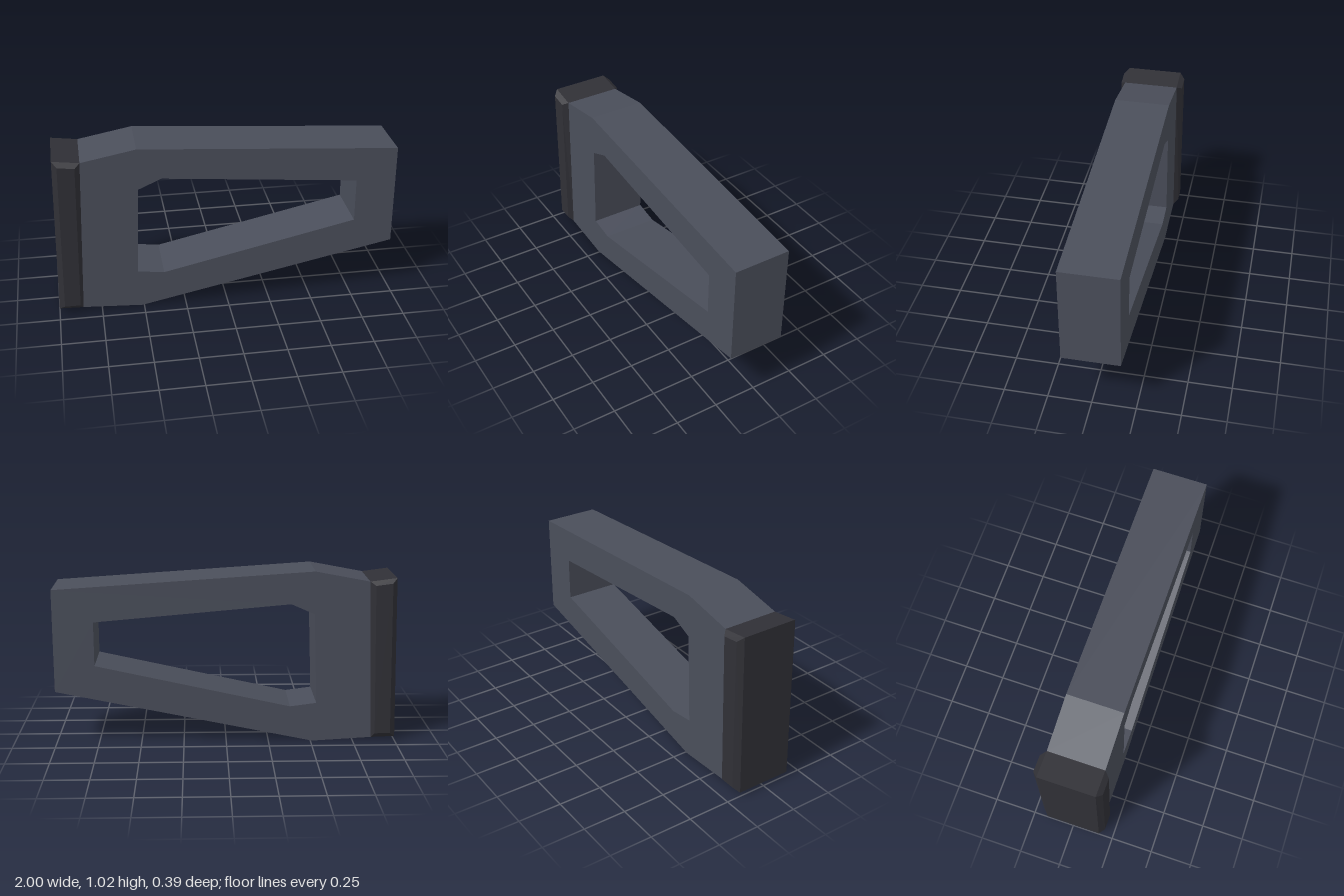
import * as THREE from 'three';

const toPoints = (list) => list.map(([x, y]) => new THREE.Vector2(x, y));

// Flat-shaded solid from counter-clockwise four-corner loops stacked along +z
function loft(loops) {
  const positions = [];
  const quad = (a, b, c, d) => positions.push(...a, ...b, ...c, ...a, ...c, ...d);
  const rings = loops.map(({ z, corners }) => corners.map(([x, y]) => [x, y, z]));
  for (let i = 0; i < rings.length - 1; i++) {
    const near = rings[i], far = rings[i + 1];
    for (let j = 0; j < 4; j++) {
      const k = (j + 1) % 4;
      quad(near[j], near[k], far[k], far[j]);
    }
  }
  const back = rings[0], front = rings[rings.length - 1];
  quad(back[3], back[2], back[1], back[0]);
  quad(front[0], front[1], front[2], front[3]);
  const geometry = new THREE.BufferGeometry();
  geometry.setAttribute('position', new THREE.Float32BufferAttribute(positions, 3));
  geometry.computeVertexNormals();
  return geometry;
}

export function createModel() {
  const group = new THREE.Group();
  group.name = 'skeletonStock';

  const frameGrey = new THREE.MeshStandardMaterial({ color: 0x4a4e5a });
  frameGrey.name = 'slateGrey';
  const padBlack = new THREE.MeshStandardMaterial({ color: 0x303036 });
  padBlack.name = 'rubberBlack';

  const halfDepth = 0.165;

  // Tapered frame with a cut-out
  const outline = new THREE.Shape(toPoints([
    [-0.86, 0.02], [-0.51, 0], [1, 0.315], [1, 0.92], [-0.51, 1.02], [-0.825, 0.96],
  ]));
  outline.holes.push(new THREE.Path(toPoints([
    [-0.53, 0.235], [-0.51, 0.77], [-0.375, 0.83], [0.765, 0.73], [0.765, 0.47], [-0.375, 0.215],
  ])));
  const frameGeometry = new THREE.ExtrudeGeometry(outline, { depth: halfDepth * 2, bevelEnabled: false });
  frameGeometry.translate(0, 0, -halfDepth);
  const frame = new THREE.Mesh(frameGeometry, frameGrey);
  frame.name = 'frame';
  group.add(frame);

  // Slanted end pad, bevelled on both sides
  const full = [[-1, 0.025], [-0.86, 0.02], [-0.825, 0.96], [-0.98, 0.98]];
  const inset = [[-0.968, 0.053], [-0.877, 0.053], [-0.855, 0.94], [-0.952, 0.953]];
  const pad = new THREE.Mesh(loft([
    { z: -0.195, corners: inset },
    { z: -halfDepth, corners: full },
    { z: halfDepth, corners: full },
    { z: 0.195, corners: inset },
  ]), padBlack);
  pad.name = 'endPad';
  group.add(pad);

  return group;
}
